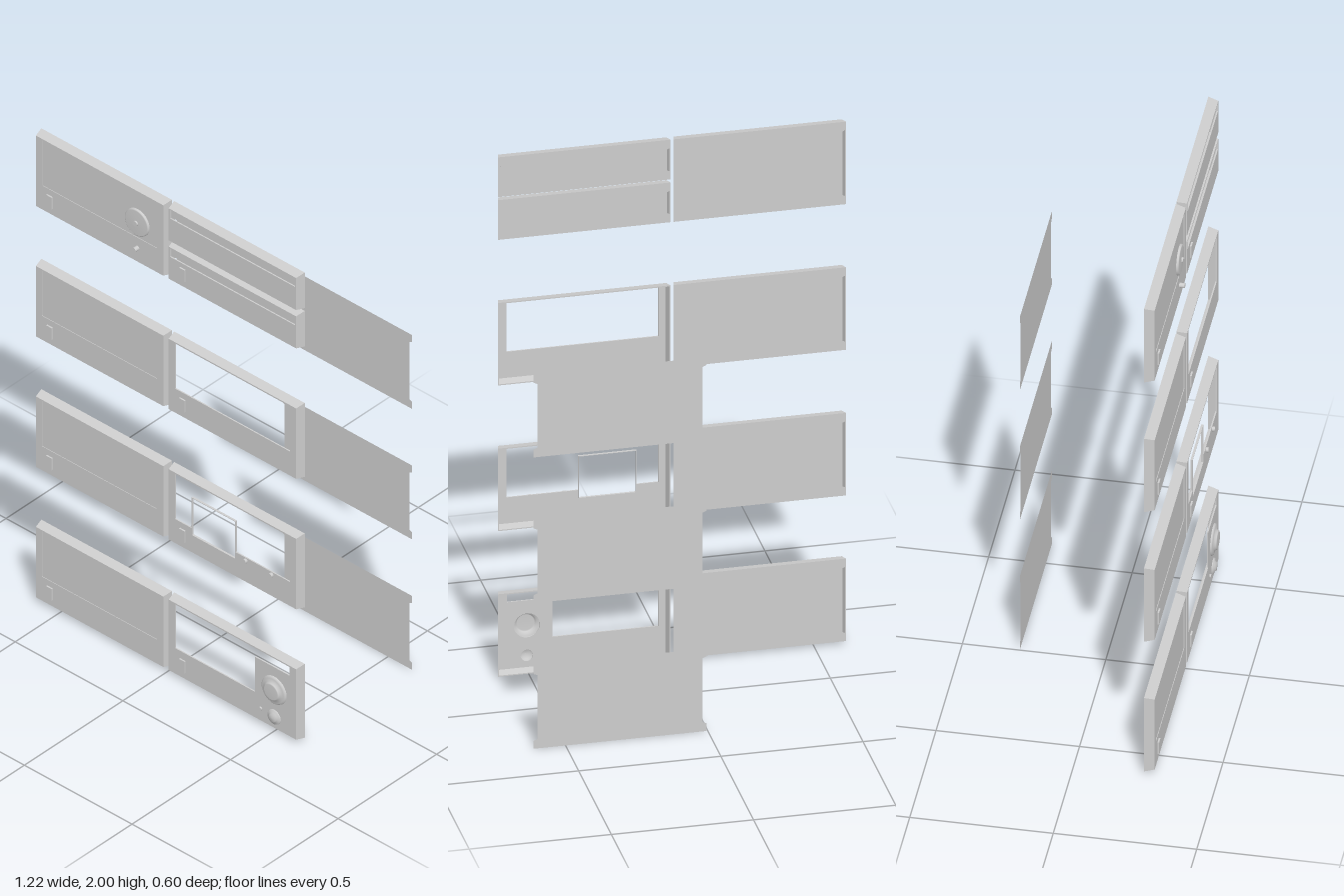
import * as THREE from 'three';

const grey = new THREE.MeshStandardMaterial({ color: 0xcccccc, side: THREE.DoubleSide });
grey.name = 'plain grey';

const W = 0.607, H = 0.316, TAPER = 0.0075;   // panel size at the back, draft of the sides
const BACK = 0.245, FRONT = 0.281, SKIN = 0.005, WALL = 0.004;
const COLUMN = 0.3085, PITCH = 0.558, PLATE_Z = -0.3;

function add(parent, name, geometry, x = 0, y = 0, z = 0) {
  const mesh = new THREE.Mesh(geometry, grey);
  mesh.name = name;
  mesh.position.set(x, y, z);
  parent.add(mesh);
  return mesh;
}

const points = list => list.map(([x, y]) => new THREE.Vector2(x, y));
const rect = (x0, y0, x1, y1) => points([[x0, y0], [x1, y0], [x1, y1], [x0, y1]]);

function extrude(outline, holes, z, depth) {
  const shape = new THREE.Shape(outline);
  for (const h of holes) shape.holes.push(new THREE.Path(h));
  const g = new THREE.ExtrudeGeometry(shape, { depth, bevelEnabled: false });
  return g.translate(0, 0, z);
}

// narrow the outer sides towards the front
function taper(g, w, h) {
  const p = g.attributes.position;
  for (let i = 0; i < p.count; i++) {
    const t = TAPER * (p.getZ(i) - BACK) / (FRONT - BACK);
    const x = p.getX(i), y = p.getY(i);
    if (Math.abs(x) > w / 2 - WALL - 0.0005) p.setX(i, x - Math.sign(x) * t);
    if (Math.abs(y) > h / 2 - WALL - 0.0005) p.setY(i, y - Math.sign(y) * t);
  }
  g.computeVertexNormals();
  return g;
}

// open-backed shell: side walls and a front skin with openings
function shell(parent, h, holes) {
  const outer = rect(-W / 2, -h / 2, W / 2, h / 2);
  const inner = rect(-W / 2 + WALL, -h / 2 + WALL, W / 2 - WALL, h / 2 - WALL);
  add(parent, 'sideWalls', taper(extrude(outer, [inner], BACK, FRONT - BACK), W, h));
  add(parent, 'frontSkin', taper(extrude(outer, holes, FRONT - SKIN, SKIN), W, h));
}

// flat back plate with long notches in both ends
function backPlate(parent, h, y, z) {
  const a = W / 2, b = a - 0.013, c = h / 2, d = c - 0.03;
  const outline = points([[-a, -c], [a, -c], [a, -d], [b, -d + 0.006], [b, d - 0.006], [a, d], [a, c],
    [-a, c], [-a, d], [-b, d - 0.006], [-b, -d + 0.006], [-a, -d]]);
  add(parent, 'backPlate', new THREE.ShapeGeometry(new THREE.Shape(outline)), 0, y, z);
}

function turned(parent, name, profile, x, y) {
  const g = new THREE.LatheGeometry(points(profile), 32).rotateX(Math.PI / 2);
  add(parent, name, g, x, y, FRONT);
}

function peg(parent, name, x, y, r, length) {
  const g = new THREE.CylinderGeometry(r, r, length, 16).rotateX(Math.PI / 2);
  add(parent, name, g, x, y, FRONT + length / 2);
}

function tab(parent, y) {
  add(parent, 'tab', new THREE.BoxGeometry(0.026, 0.05, 0.008), -0.23, y, FRONT + 0.002);
}

function circle(x, y, r) {
  return new THREE.Path().absarc(x, y, r, 0, Math.PI * 2).getPoints(16).slice(0, -1);
}

const TOP = H / 2;
const windowHole = rect(-0.267, TOP - 0.206, 0.267, TOP - 0.013);

// closed panel with a slightly sunken pane
function closedPanel(g) {
  shell(g, H, [windowHole]);
  add(g, 'pane', extrude(windowHole, [], FRONT - SKIN, SKIN - 0.002));
  backPlate(g, H, 0, BACK);
  tab(g, -TOP + 0.06);
}

// panel pair of narrow strips
function strips(g) {
  const h = 0.152;
  for (const [i, y] of [TOP - h / 2, -TOP + h / 2].entries()) {
    const strip = new THREE.Group();
    strip.name = i ? 'lowerStrip' : 'upperStrip';
    strip.position.y = y;
    const slot = rect(-0.29, h / 2 - 0.048, 0.29, h / 2 - 0.012);
    shell(strip, h, [slot]);
    add(strip, 'gripRecess', extrude(slot, [], FRONT - 0.012, 0.004));
    backPlate(strip, h, 0, BACK);
    if (i) tab(strip, -h / 2 + 0.06);
    g.add(strip);
  }
}

// open panel with the rear plate set far behind
function openPanel(g, holes) {
  shell(g, H, holes);
  backPlate(g, H, -0.01, PLATE_Z);
  tab(g, -TOP + 0.06);
}

function sleevePanel(g) {
  const t = TOP - 0.013, m = TOP - 0.206, low = TOP - 0.237;
  openPanel(g, [points([[-0.267, m], [-0.19, m], [-0.19, low], [0.0145, low], [0.0145, m],
    [0.267, m], [0.267, t], [-0.267, t]])]);
  const y0 = low, y1 = TOP - 0.075, e = 0.002;
  add(g, 'sleeve', extrude(rect(-0.19, y0, 0.0145, y1),
    [rect(-0.19 + e, y0 + e, 0.0145 - e, y1 - e)], FRONT - 0.008, 0.008));
  for (const x of [0.062, 0.182]) peg(g, 'button', x, TOP - 0.218, 0.009, 0.01);
}

function dialPanel(g) {
  const t = TOP - 0.013, s = TOP - 0.05, m = TOP - 0.2;
  const big = [0.195, TOP - 0.146], small = [0.195, TOP - 0.261];
  openPanel(g, [points([[-0.267, m], [0.105, m], [0.105, s], [0.265, s], [0.265, t], [-0.267, t]]),
    circle(...big, 0.046), circle(...small, 0.022)]);
  turned(g, 'largeDial', [[0.057, 0], [0.055, 0.005], [0.049, 0.008], [0.038, 0.009], [0.034, 0.017],
    [0.03, 0.019], [0, 0.019]], ...big);
  turned(g, 'smallDial', [[0.03, 0], [0.028, 0.005], [0.018, 0.007], [0.015, 0.013], [0, 0.014]], ...small);
  peg(g, 'button', 0.132, TOP - 0.256, 0.007, 0.006);
}

export function createModel() {
  const model = new THREE.Group();
  model.name = 'frontPanels';
  const rightColumn = [strips, g => openPanel(g, [windowHole]), sleevePanel, dialPanel];
  for (let row = 0; row < 4; row++) {
    const y = 2 - TOP - row * PITCH;
    const closed = new THREE.Group(), open = new THREE.Group();
    closed.name = 'closedPanel';
    open.name = row ? 'openPanel' : 'stripPanel';
    closed.position.set(-COLUMN, y, 0);
    open.position.set(COLUMN, y, 0);
    closedPanel(closed);
    rightColumn[row](open);
    // dial and push button on the top panel
    if (row === 0) {
      turned(closed, 'disc', [[0.055, -0.002], [0.054, 0.005], [0.05, 0.007], [0, 0.008]], 0.176, TOP - 0.14);
      peg(closed, 'discPin', 0.176, TOP - 0.14, 0.01, 0.014);
      peg(closed, 'button', 0.176, TOP - 0.25, 0.009, 0.019);
    }
    model.add(closed, open);
  }
  return model;
}
